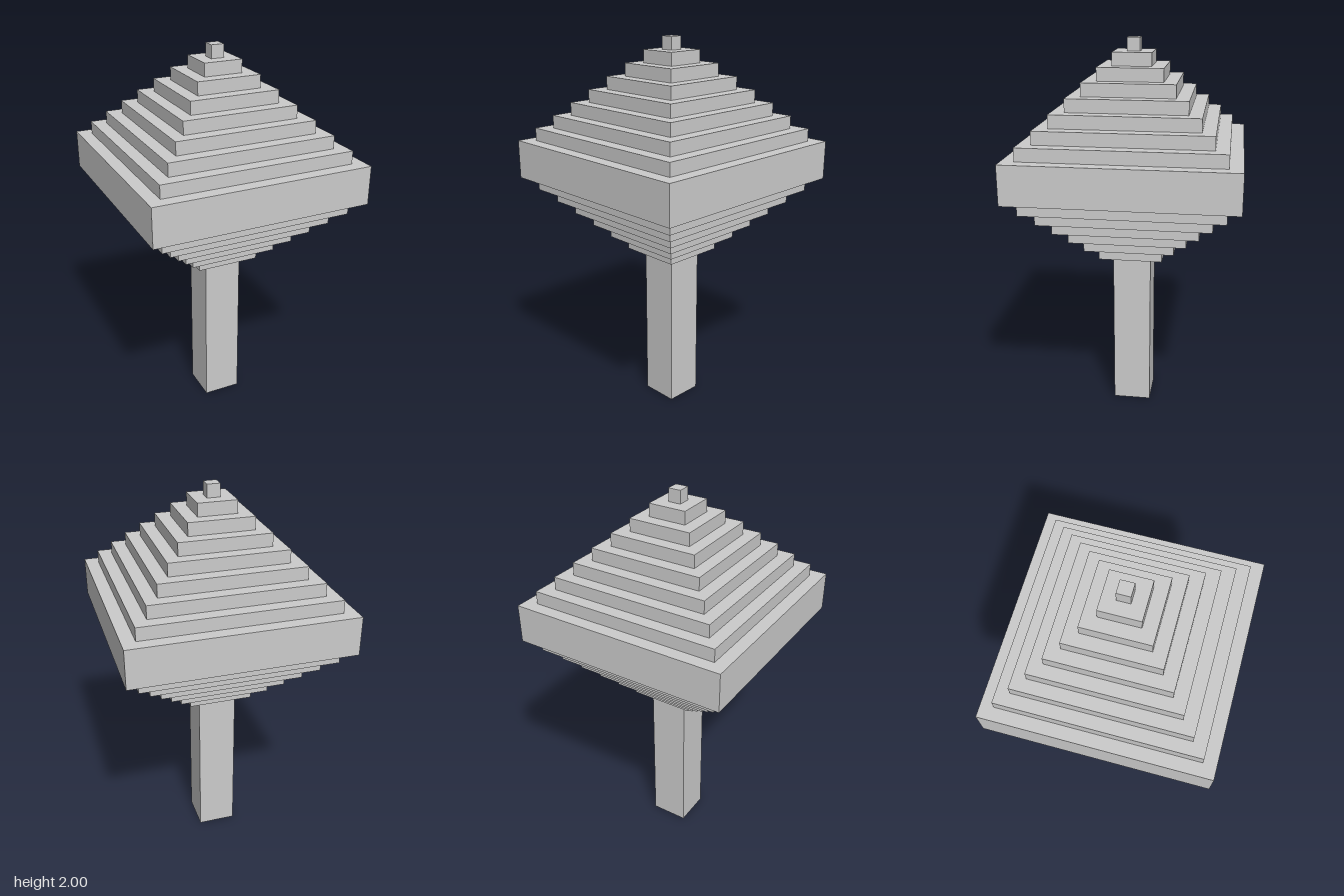
import * as THREE from 'three';

const U = 1 / 15; // one voxel

export function createModel() {
  const tree = new THREE.Group();
  tree.name = 'blockTree';
  const material = new THREE.MeshStandardMaterial({ color: 0xcccccc, flatShading: true });

  // Square slab, sized in voxels, standing on the given level
  function slab(name, width, bottom, height, parent) {
    const mesh = new THREE.Mesh(new THREE.BoxGeometry(width * U, height * U, width * U), material);
    mesh.name = name;
    mesh.position.y = (bottom + height / 2) * U;
    parent.add(mesh);
  }

  slab('trunk', 3, 0, 13, tree);

  const crown = new THREE.Group();
  crown.name = 'crown';
  tree.add(crown);

  // Lower crown steps widen upwards from the trunk
  for (let i = 0; i < 6; i++) slab(`lowerStep${i + 1}`, 5 + 2 * i, 13 + i, 1, crown);

  // Thick middle band
  slab('middleBand', 17, 19, 3, crown);

  // Upper crown steps narrow to a single voxel
  for (let i = 0; i < 8; i++) slab(`upperStep${i + 1}`, 15 - 2 * i, 22 + i, 1, crown);

  return tree;
}
